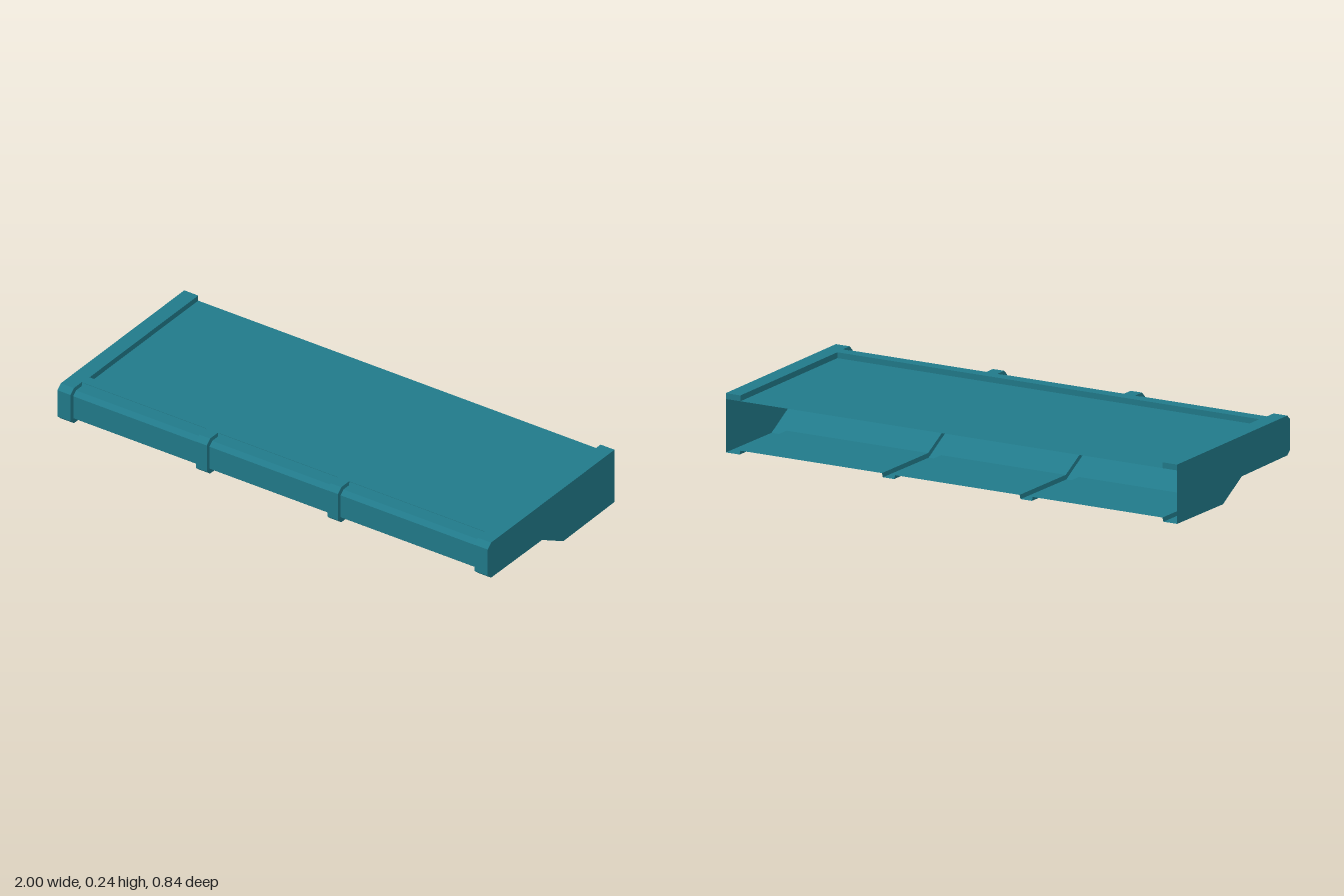
import * as THREE from 'three';

const TOP = 0.24, FLOOR = 0.217, BACK = -0.42, INNER = 0.935;

// Side profiles as [z, y], from the top rim over the front and along the underside to the back
const pillarProfile = [
  [0.345, TOP], [0.352, TOP], [0.398, TOP], [0.42, 0.22], [0.42, 0.102], [0.398, 0.083],
  [0.06, 0.08], [-0.08, 0.003], [BACK, 0.006],
];
const bayProfile = [
  [0.345, TOP], [0.352, 0.227], [0.39, 0.227], [0.408, 0.21], [0.408, 0.112], [0.39, 0.098],
  [0.063, 0.095], [-0.077, 0.02], [BACK, 0.022],
];

// Skin stretched across x through a list of [x, profile] stations
function loft(stations) {
  const pos = [];
  for (let s = 0; s < stations.length - 1; s++) {
    const [x0, p] = stations[s], [x1, q] = stations[s + 1];
    for (let i = 0; i < p.length - 1; i++) {
      const a = [x0, p[i][1], p[i][0]], b = [x0, p[i + 1][1], p[i + 1][0]];
      const c = [x1, q[i + 1][1], q[i + 1][0]], d = [x1, q[i][1], q[i][0]];
      pos.push(...a, ...b, ...c, ...a, ...c, ...d);
    }
  }
  const g = new THREE.BufferGeometry();
  g.setAttribute('position', new THREE.Float32BufferAttribute(pos, 3));
  g.computeVertexNormals();
  return g;
}

export function createModel() {
  const group = new THREE.Group();
  const material = new THREE.MeshStandardMaterial({
    color: 0x217a8a, flatShading: true, side: THREE.DoubleSide,
  });
  const add = (name, geometry) => {
    const mesh = new THREE.Mesh(geometry, material);
    mesh.name = name;
    group.add(mesh);
  };

  // Raised ribs that wrap the front and underside
  const ribs = [[-1, -INNER], [-0.36, -0.302], [0.25, 0.308], [INNER, 1]];
  const bevel = 0.004;
  ribs.forEach(([x0, x1], i) => {
    const stations = [[x0 + bevel, pillarProfile], [x1 - bevel, pillarProfile]];
    if (i === 0) stations[0][0] = x0;
    else stations.unshift([x0, bayProfile]);
    if (i === ribs.length - 1) stations[stations.length - 1][0] = x1;
    else stations.push([x1, bayProfile]);
    add('rib', loft(stations));
  });

  // Recessed panels between the ribs
  for (let i = 0; i < ribs.length - 1; i++) {
    add('panel', loft([[ribs[i][1], bayProfile], [ribs[i + 1][0], bayProfile]]));
  }

  // End walls
  for (const s of [1, -1]) {
    const outline = [...pillarProfile, [BACK, TOP]].map(([z, y]) => new THREE.Vector2(-s * z, y));
    const wall = new THREE.ShapeGeometry(new THREE.Shape(outline));
    wall.rotateY(s * Math.PI / 2).translate(s, 0, 0);
    add('endWall', wall);
  }

  // U-shaped rim around the recessed deck
  const rimOutline = [
    [-1, BACK], [-INNER, BACK], [-INNER, 0.30], [INNER, 0.30], [INNER, BACK], [1, BACK],
    [1, 0.346], [-1, 0.346],
  ].map(([x, z]) => new THREE.Vector2(x, z));
  const rim = new THREE.ExtrudeGeometry(new THREE.Shape(rimOutline), {
    depth: TOP - FLOOR, bevelEnabled: false,
  });
  rim.rotateX(Math.PI / 2).translate(0, TOP, 0);
  add('rim', rim);

  // Deck, open underneath towards the back
  const deck = new THREE.PlaneGeometry(2 * INNER, 0.30 - BACK);
  deck.rotateX(-Math.PI / 2).translate(0, FLOOR, (0.30 + BACK) / 2);
  add('deck', deck);

  return group;
}
